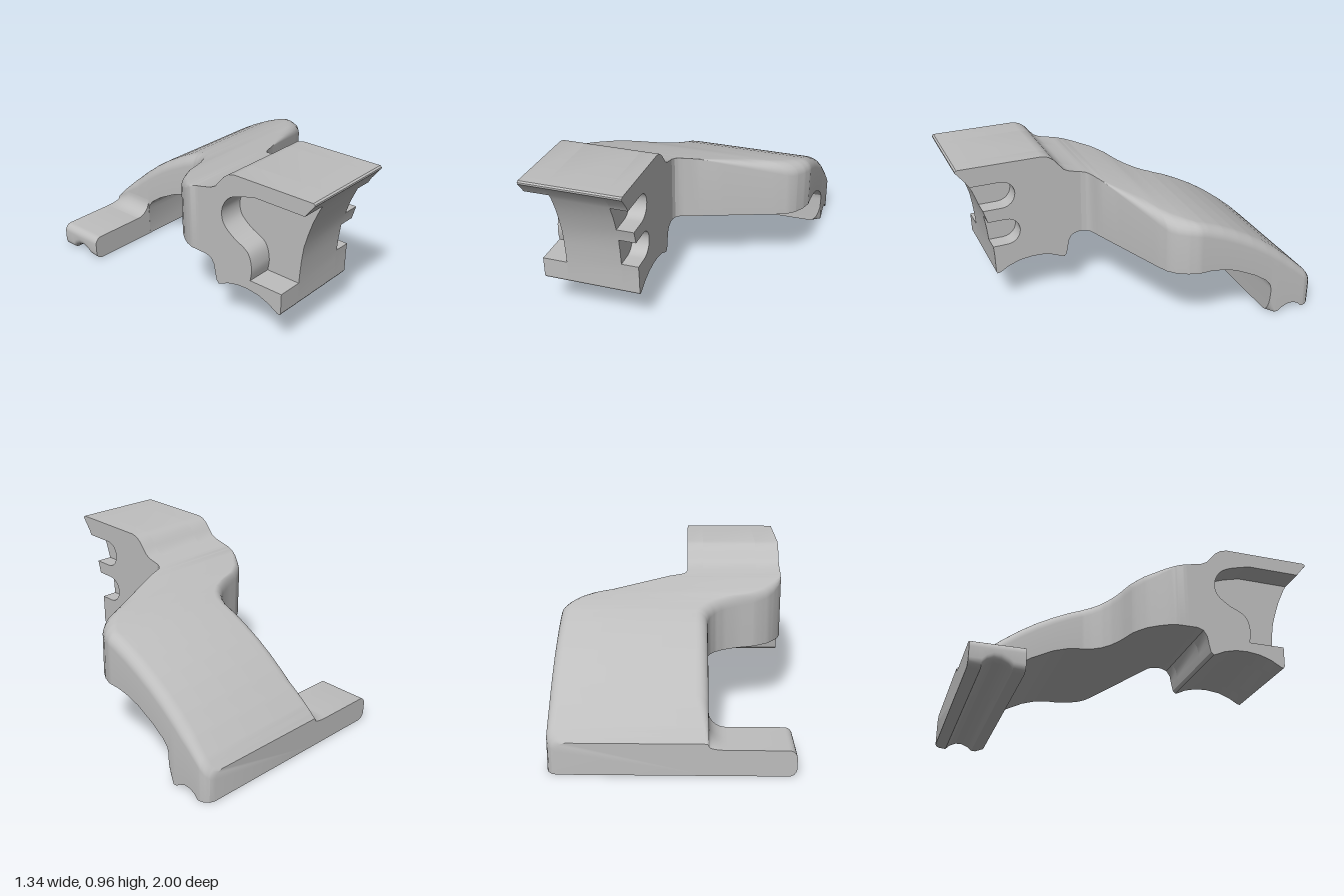
import * as THREE from 'three';
import { toCreasedNormals } from 'three/addons/utils/BufferGeometryUtils.js';

// Linear lookup in a table of [key, value] pairs
const at = (table, k) => {
  if (k <= table[0][0]) return table[0][1];
  for (let i = 1; i < table.length; i++) {
    const [a, va] = table[i - 1], [b, vb] = table[i];
    if (k <= b) return va + (vb - va) * (k - a) / (b - a);
  }
  return table[table.length - 1][1];
};

// Arm tables, keyed by z: upper and lower surface heights, plan outline
const top = [[-1, 0.185], [-0.985, 0.2], [-0.95, 0.24], [-0.85, 0.335], [-0.75, 0.42], [-0.65, 0.495],
  [-0.55, 0.56], [-0.45, 0.615], [-0.35, 0.663], [-0.25, 0.702], [-0.15, 0.73], [0, 0.764], [0.24, 0.816]];
const footBottom = [[-1, 0], [-0.93, 0], [-0.905, 0.025], [-0.87, 0.042], [-0.83, 0.042], [-0.79, 0.025],
  [-0.765, 0.005], [-0.7, 0]];
const bottom = [...footBottom, [-0.699, 0.18], [-0.69, 0.215], [-0.66, 0.25], [-0.58, 0.305], [-0.45, 0.37],
  [-0.37, 0.395], [-0.28, 0.408], [0.24, 0.408]];
const rightX = [[-1, 0.61], [-0.99, 0.64], [-0.97, 0.66], [-0.94, 0.67], [-0.2, 0.67], [-0.14, 0.65],
  [-0.08, 0.615], [-0.04, 0.57], [-0.01, 0.5], [0.17, 0.01], [0.18, -0.02], [0.192, -0.05],
  [0.21, -0.07], [0.24, -0.078]];
const leftX = [[-1, -0.2], [-0.27, -0.2], [-0.22, -0.215], [-0.17, -0.25], [-0.13, -0.3], [-0.1, -0.36],
  [-0.085, -0.4], [-0.058, -0.49], [-0.035, -0.53], [0, -0.58], [0.05, -0.62], [0.1, -0.65], [0.15, -0.668], [0.24, -0.67]];

// Rounding of the edges: upper left radius, upper right height and width, lower right chamfer
const leftRadius = [[-1, 0.015], [-0.9, 0.04], [-0.8, 0.07], [-0.1, 0.07], [0.05, 0.05], [0.2, 0]];
const rightHeight = [[-1, 0.05], [-0.8, 0.07], [-0.2, 0.07], [-0.05, 0.09], [0.16, 0]];
const rightWidth = [[-1, 0.05], [-0.8, 0.07], [-0.2, 0.07], [-0.1, 0.12], [0, 0.19], [0.16, 0]];
const chamfer = [[-0.74, 0], [-0.7, 0.07], [-0.699, 0]];

// Rectangle with elliptical corners [rx, ry], counter-clockwise from the lower left
const roundedRing = (x0, x1, y0, y1, corners) => {
  const ring = [], n = 6;
  [[x0, y0, 1, 1, 2], [x1, y0, -1, 1, 3], [x1, y1, -1, -1, 0], [x0, y1, 1, -1, 1]].forEach(([x, y, sx, sy, q], c) => {
    const [rx, ry] = corners[c];
    for (let i = 0; i <= n; i++) {
      const t = (q + i / n) * Math.PI / 2;
      ring.push([x + sx * rx + rx * Math.cos(t), y + sy * ry + ry * Math.sin(t)]);
    }
  });
  return ring;
};

// Skin cross-sections along z, with closed ends
function loft(stations, ringAt) {
  const pos = [], idx = [];
  let n = 0;
  stations.forEach(z => {
    const ring = ringAt(z);
    n = ring.length;
    ring.forEach(([x, y]) => pos.push(x, y, z));
  });
  const last = (stations.length - 1) * n;
  for (let s = 0; s < last; s += n) {
    for (let i = 0; i < n; i++) {
      const j = (i + 1) % n;
      idx.push(s + i, s + j, s + n + j, s + i, s + n + j, s + n + i);
    }
  }
  for (let i = 1; i < n - 1; i++) idx.push(0, i + 1, i, last, last + i, last + i + 1);
  const g = new THREE.BufferGeometry();
  g.setAttribute('position', new THREE.Float32BufferAttribute(pos, 3));
  g.setIndex(idx);
  return toCreasedNormals(g, 0.45);
}

// Extrude a [z, y] outline along x
function slab(outline, x0, x1) {
  const shape = new THREE.Shape(outline.map(([z, y]) => new THREE.Vector2(-z, y)));
  const g = new THREE.ExtrudeGeometry(shape, { depth: x1 - x0, bevelEnabled: false });
  g.rotateY(Math.PI / 2).translate(x0, 0, 0);
  return toCreasedNormals(g, 0.5);
}

// Concave front of the head: y -> z
const front = [[0.24, 0.802], [0.36, 0.805], [0.42, 0.81], [0.5, 0.818], [0.59, 0.832], [0.67, 0.856],
  [0.75, 0.884], [0.84, 0.925], [0.87, 0.943], [0.93, 0.99], [0.94, 1]];
const headBack = [[1, 0.95], [0.99, 0.957], [0.48, 0.955], [0.44, 0.945], [0.405, 0.92], [0.375, 0.885], [0.345, 0.85],
  [0.31, 0.832], [0.24, 0.816], [0.24, 0.408], [0.27, 0.408], [0.305, 0.395], [0.327, 0.36], [0.335, 0.31],
  [0.345, 0.265], [0.36, 0.25], [0.37, 0.252], [0.43, 0.28], [0.5, 0.297], [0.57, 0.3], [0.65, 0.29],
  [0.72, 0.265], [0.78, 0.23], [0.795, 0.228]];

// Head outline whose front is interrupted by pockets, each a list of [z, y] from low to high
function headOutline(pockets = []) {
  const pts = [...headBack];
  let y = 0;
  for (const p of pockets) {
    const y0 = p[0][1], y1 = p[p.length - 1][1];
    front.forEach(([fy, fz]) => { if (fy > y && fy < y0) pts.push([fz, fy]); });
    pts.push([at(front, y0), y0], ...p.slice(1, -1), [at(front, y1), y1]);
    y = y1;
  }
  front.forEach(([fy, fz]) => { if (fy > y) pts.push([fz, fy]); });
  return pts;
}

// Round-ended slot running back from the front
function slot(y0, y1, zEnd) {
  const r = (y1 - y0) / 2, p = [[1, y0]];
  for (let i = 0; i <= 12; i++) {
    const a = i / 12 * Math.PI;
    p.push([zEnd + r - r * Math.sin(a), y0 + r - r * Math.cos(a)]);
  }
  return [...p, [1, y1]];
}

export function createModel() {
  const group = new THREE.Group();
  const grey = new THREE.MeshStandardMaterial({ color: 0xbebebe });
  grey.name = 'plain grey';
  const add = (name, geometry, parent = group) => {
    const mesh = new THREE.Mesh(geometry, grey);
    mesh.name = name;
    parent.add(mesh);
  };

  // Curved arm
  const keys = [top, bottom, rightX, leftX].flat().map(p => p[0]);
  for (let i = 0; i <= 62; i++) keys.push(+(-1 + i * 0.02).toFixed(3));
  const stations = [...new Set(keys)].sort((a, b) => a - b);
  add('curvedArm', loft(stations, z => {
    const r = at(leftRadius, z), c = at(chamfer, z);
    return roundedRing(at(leftX, z), at(rightX, z), at(bottom, z), at(top, z),
      [[0, 0], [c, c * 2.2], [at(rightWidth, z), at(rightHeight, z)], [r, r]]);
  }));

  // Foot bar reaching sideways, grooved underneath
  const footZ = footBottom.map(p => p[0]);
  const footCorners = Array(4).fill([0.045, 0.045]);
  add('footBar', loft(footZ, z => roundedRing(-0.67, -0.15, at(footBottom, z), 0.15, footCorners)));

  // Fillet between the foot bar and the arm
  add('footFillet', loft([-1, -0.985, -0.95, -0.9, -0.85, -0.8, -0.7], z => {
    const rx = 0.1, ry = Math.max(0.005, Math.min(0.1, at(top, z) - at(leftRadius, z) - 0.15));
    const ring = [[-0.15, 0.1], [-0.15, 0.15 + ry], [-0.2, 0.15 + ry]];
    for (let i = 1; i <= 8; i++) {
      const a = i / 8 * Math.PI / 2;
      ring.push([-0.2 - rx + rx * Math.cos(a), 0.15 + ry - ry * Math.sin(a)]);
    }
    ring.push([-0.2 - rx, 0.1]);
    return ring;
  }));

  // Head: side recess, solid core, and two slots on the other side
  const head = new THREE.Group();
  head.name = 'head';
  group.add(head);
  const recessEnd = [[0.59, 0.36], [0.6, 0.44], [0.57, 0.53], [0.47, 0.585], [0.4, 0.65], [0.395, 0.74],
    [0.46, 0.82], [0.62, 0.868]];
  const recessCurve = new THREE.SplineCurve(recessEnd.map(p => new THREE.Vector2(...p)));
  const recess = [[1, 0.36], ...recessCurve.getPoints(32).map(p => p.toArray()), [1, 0.868]];
  add('recessedSide', slab(headOutline([recess]), -0.67, -0.52), head);
  add('headCore', slab(headOutline(), -0.52, -0.18), head);
  add('slottedSide', slab(headOutline([slot(0.418, 0.588, 0.635), slot(0.668, 0.837, 0.655)]), -0.18, -0.078), head);

  return group;
}
